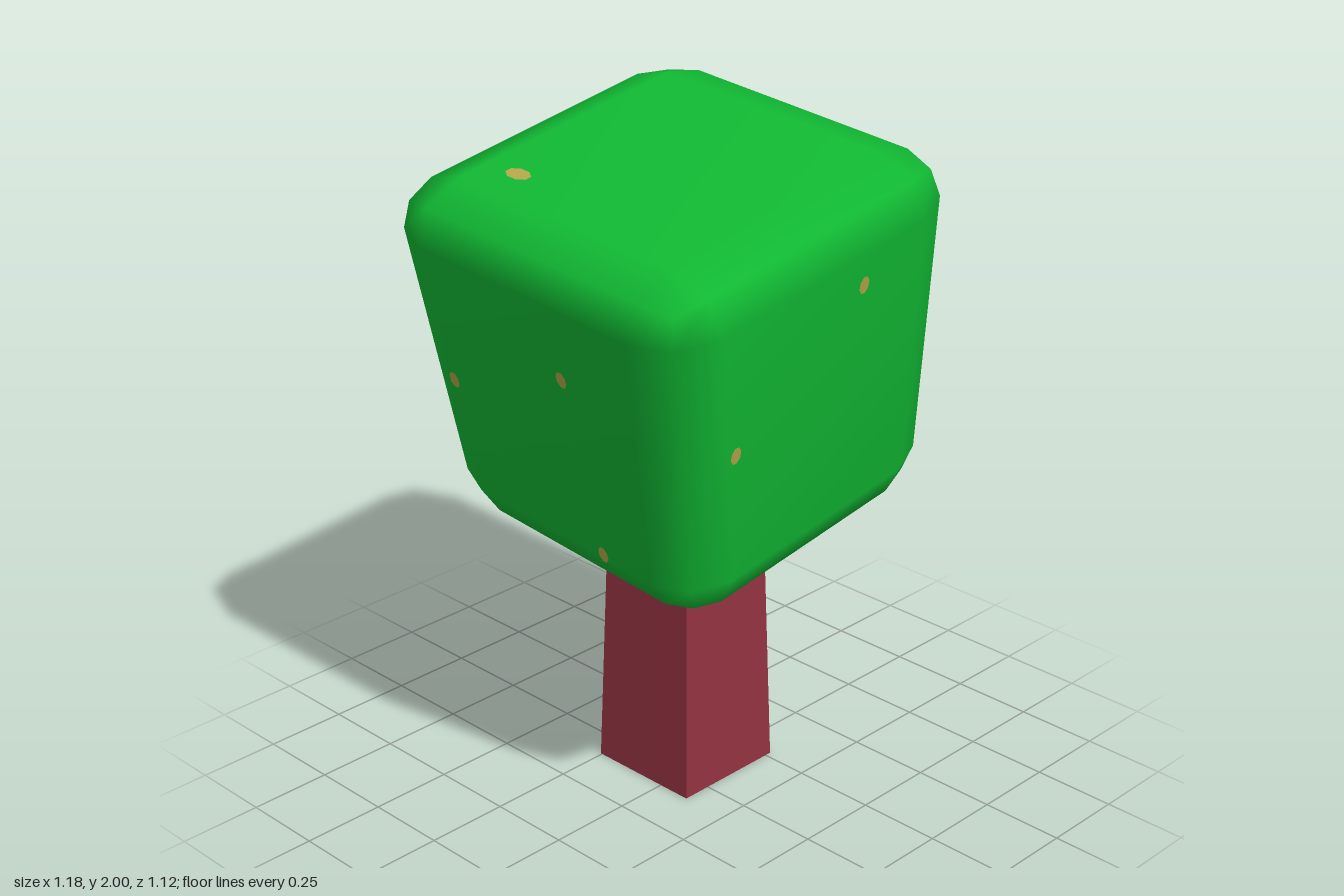
import * as THREE from 'three';
import { mergeVertices } from 'three/addons/utils/BufferGeometryUtils.js';

// Sharp corners of the leaning crown, keyed by side signs of x, y, z
const CORNERS = [
  [-1, -1, -1, -0.35, 0.80, -0.57], [1, -1, -1, 0.588, 0.963, -0.56],
  [-1, -1, 1, -0.35, 0.72, 0.39], [1, -1, 1, 0.592, 0.885, 0.415],
  [-1, 1, -1, -0.635, 1.853, -0.55], [1, 1, -1, 0.485, 2.045, -0.54],
  [-1, 1, 1, -0.615, 1.76, 0.57], [1, 1, 1, 0.493, 1.95, 0.58],
];

// Unit cube with a two-step bevel, warped into the eight corners
function crownGeometry() {
  let geo = new THREE.BoxGeometry(1, 1, 1, 3, 3, 3);
  geo.deleteAttribute('normal');
  geo.deleteAttribute('uv');
  geo = mergeVertices(geo);
  const bevel = [0.155, 0.13, 0.155];
  const pos = geo.attributes.position;
  const p = new THREE.Vector3();
  for (let i = 0; i < pos.count; i++) {
    p.fromBufferAttribute(pos, i);
    const sign = p.toArray().map(Math.sign);
    const out = new THREE.Vector3(...p.toArray().map((c) => (Math.abs(c) > 0.4 ? 1 : 0))).normalize().toArray();
    const q = sign.map((s, k) => s * (0.5 - bevel[k] + bevel[k] * out[k]));
    p.set(0, 0, 0);
    for (const [sx, sy, sz, x, y, z] of CORNERS) {
      const w = (0.5 + sx * q[0]) * (0.5 + sy * q[1]) * (0.5 + sz * q[2]);
      p.x += w * x;
      p.y += w * y;
      p.z += w * z;
    }
    pos.setXYZ(i, p.x, p.y, p.z);
  }
  geo.computeVertexNormals();
  return geo;
}

export function createModel() {
  const leaf = new THREE.MeshStandardMaterial({ color: 0x11b833 });
  leaf.name = 'leafGreen';
  const bark = new THREE.MeshStandardMaterial({ color: 0x933241, side: THREE.DoubleSide });
  bark.name = 'barkRed';
  const gold = new THREE.MeshStandardMaterial({ color: 0xb5a84a, side: THREE.DoubleSide });
  gold.name = 'spotGold';

  const model = new THREE.Group();
  model.name = 'tree';

  // Square tapering trunk, open at the bottom
  const height = 0.95;
  let trunkGeo = new THREE.CylinderGeometry(0.154 * Math.SQRT2, 0.18 * Math.SQRT2, height, 4, 1, true);
  trunkGeo.rotateY(Math.PI / 4);
  trunkGeo = trunkGeo.toNonIndexed();
  trunkGeo.computeVertexNormals();
  const trunk = new THREE.Mesh(trunkGeo, bark);
  trunk.name = 'trunk';
  trunk.position.set(0.09, height / 2, -0.075);
  model.add(trunk);

  // Crown
  const crown = new THREE.Mesh(crownGeometry(), leaf);
  crown.name = 'crown';
  model.add(crown);
  crown.updateMatrixWorld();

  // Small spots, dropped onto the crown along one axis: [side, x, y, z]
  const spots = [
    ['front', 0.115, 1.655, 3], ['front', -0.305, 1.29, 3],
    ['right', 3, 1.685, -0.125], ['right', 3, 1.455, 0.315], ['right', 3, 1.09, -0.24],
    ['back', 0.33, 1.47, -3], ['back', -0.18, 1.665, -3],
    ['left', -3, 1.45, 0.09], ['left', -3, 1.30, -0.385], ['left', -3, 0.9, 0.09],
    ['top', -0.355, 4, -0.255],
  ];
  const inward = { front: [0, 0, -1], back: [0, 0, 1], right: [-1, 0, 0], left: [1, 0, 0], top: [0, -1, 0] };
  const spotGeo = new THREE.CircleGeometry(1, 8, Math.PI / 8);
  for (const [side, x, y, z] of spots) {
    const ray = new THREE.Raycaster(new THREE.Vector3(x, y, z), new THREE.Vector3(...inward[side]));
    const hit = ray.intersectObject(crown)[0];
    if (!hit) continue;
    const spot = new THREE.Mesh(spotGeo, gold);
    spot.name = side + 'Spot';
    spot.position.copy(hit.point).addScaledVector(hit.face.normal, 0.005);
    if (side === 'top') spot.up.set(0, 0, 1);
    spot.lookAt(spot.position.clone().add(hit.face.normal));
    if (side === 'top') spot.scale.set(0.027, 0.042, 1);
    else spot.scale.set(0.019, 0.026, 1);
    model.add(spot);
  }
  return model;
}
